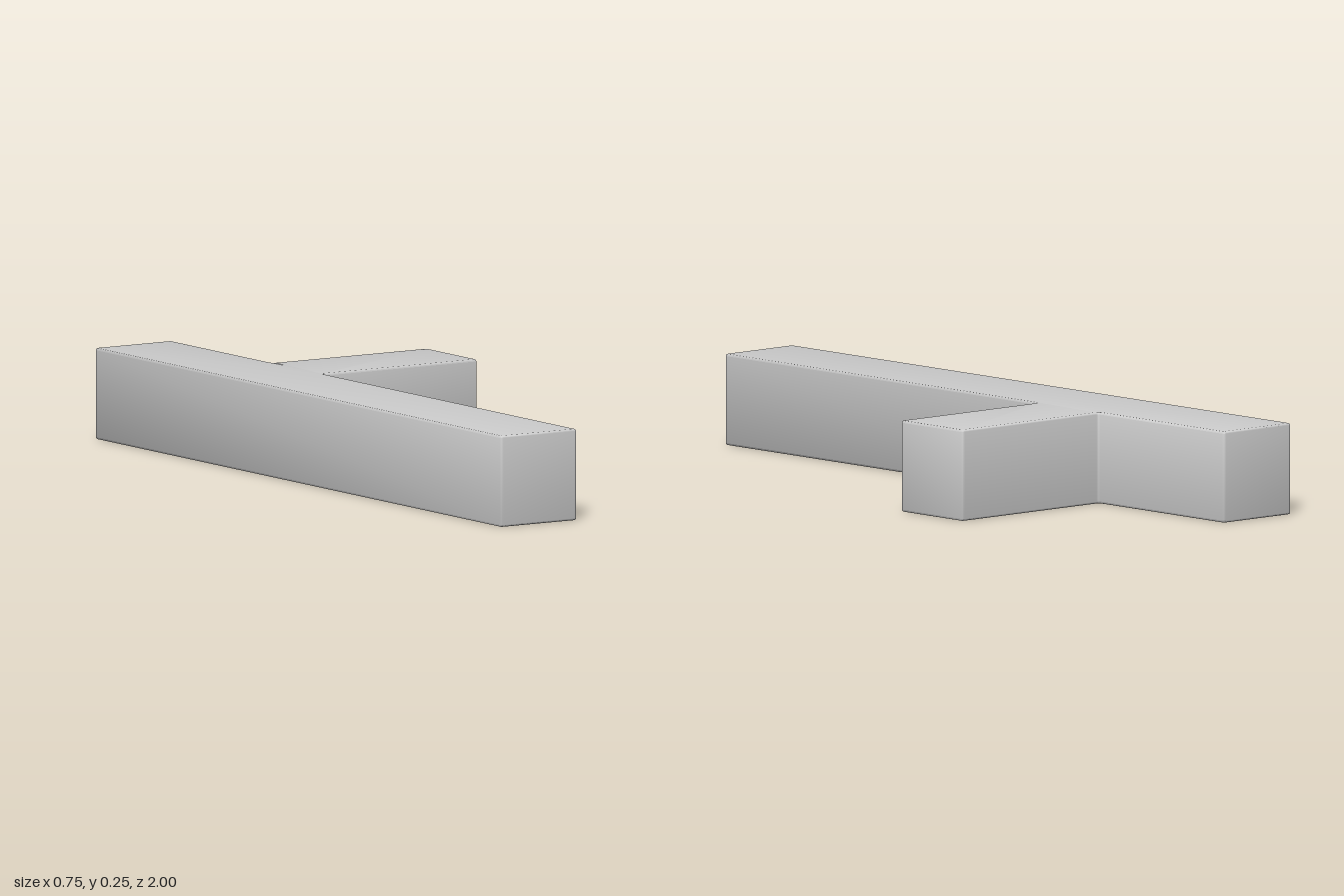
import * as THREE from 'three';
import { toCreasedNormals } from 'three/addons/utils/BufferGeometryUtils.js';

// Closed outline whose corners are softened by a small radius
function roundedOutline(points, r) {
  const pts = points.map(([x, y]) => new THREE.Vector2(x, y));
  const shape = new THREE.Shape();
  pts.forEach((p, i) => {
    const toward = (q) => q.clone().sub(p).setLength(r).add(p);
    const a = toward(pts[(i + pts.length - 1) % pts.length]);
    const b = toward(pts[(i + 1) % pts.length]);
    if (i === 0) shape.moveTo(a.x, a.y);
    else shape.lineTo(a.x, a.y);
    shape.quadraticCurveTo(p.x, p.y, b.x, b.y);
  });
  return shape;
}

export function createModel() {
  const group = new THREE.Group();
  const height = 0.249, bevel = 0.006;
  const left = -0.373, inner = -0.126, right = 0.373;

  // Plan of the long bar with its side branch (plan y is -z)
  const outline = roundedOutline([
    [left, -1], [inner, -1], [inner, 0.253], [right, 0.253],
    [right, 0.5], [inner, 0.5], [inner, 1], [left, 1],
  ], 0.009);

  // Raise the plan into a solid with softly rounded rims
  const geometry = new THREE.ExtrudeGeometry(outline, {
    depth: height - 2 * bevel,
    bevelThickness: bevel,
    bevelSize: bevel,
    bevelOffset: -bevel,
    bevelSegments: 3,
    curveSegments: 4,
  });
  geometry.rotateX(-Math.PI / 2);
  geometry.translate(0, bevel, 0);

  const block = new THREE.Mesh(
    toCreasedNormals(geometry, 0.7),
    new THREE.MeshStandardMaterial({ color: 0xcccccc })
  );
  block.name = 'branchedBlock';
  group.add(block);
  return group;
}
